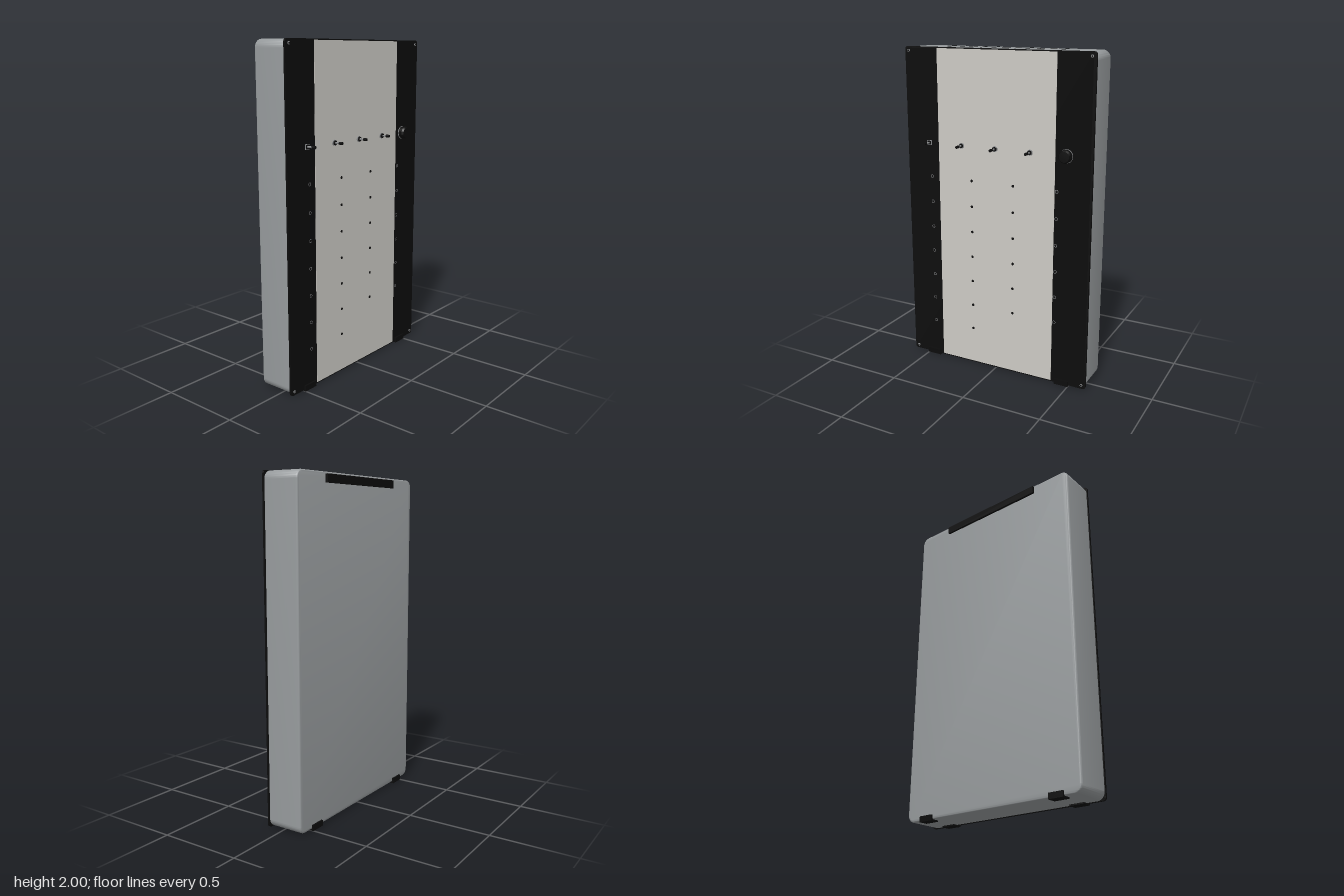
import * as THREE from 'three';
import { toCreasedNormals } from 'three/addons/utils/BufferGeometryUtils.js';

const material = (name, color) => {
  const m = new THREE.MeshStandardMaterial({ color });
  m.name = name;
  return m;
};

// Rounded rectangle centred on the case, w by h
function roundedRect(w, h, r) {
  const x = w / 2, y = h / 2, s = new THREE.Shape();
  s.moveTo(-x + r, -y);
  s.lineTo(x - r, -y);
  s.absarc(x - r, -y + r, r, -Math.PI / 2, 0);
  s.absarc(x - r, y - r, r, 0, Math.PI / 2);
  s.absarc(-x + r, y - r, r, Math.PI / 2, Math.PI);
  s.absarc(-x + r, -y + r, r, Math.PI, Math.PI * 1.5);
  return s;
}

export function createModel() {
  const group = new THREE.Group();
  group.name = 'controlBox';
  const grey = material('caseGrey', 0x989c9e);
  const black = material('black', 0x0c0c0c);
  const light = material('panelLight', 0xcdcbc5);
  const metal = material('metal', 0x8c8e90);

  function add(name, geometry, mat, x, y, z, parent = group) {
    const mesh = new THREE.Mesh(geometry, mat);
    mesh.name = name;
    mesh.position.set(x, y, z);
    parent.add(mesh);
    return mesh;
  }
  const box = (name, mat, w, h, d, x, y, z, parent) =>
    add(name, new THREE.BoxGeometry(w, h, d), mat, x, y, z, parent);
  // Disc or rod pointing to the front, standing on plane z
  const rod = (name, mat, r, d, x, y, z, parent, sides = 16) =>
    add(name, new THREE.CylinderGeometry(r, r, d, sides).rotateX(Math.PI / 2), mat, x, y, z + d / 2, parent);
  const ring = (name, mat, r, w, x, y, z, parent) =>
    add(name, new THREE.RingGeometry(r - w, r, 32), mat, x, y, z, parent);

  // Case with rounded corners and a small rear edge rounding
  const bevel = 0.012;
  const caseGeo = new THREE.ExtrudeGeometry(roundedRect(1.22 - 2 * bevel, 1.99 - 2 * bevel, 0.035), {
    depth: 0.224 - 2 * bevel, bevelThickness: bevel, bevelSize: bevel, bevelSegments: 4, curveSegments: 8,
  });
  add('case', toCreasedNormals(caseGeo, 0.6), grey, 0, 1.003, -0.14 + bevel);

  // Front plate and light centre panel
  const plateGeo = new THREE.ExtrudeGeometry(roundedRect(1.226, 1.993, 0.018), {
    depth: 0.012, bevelEnabled: false, curveSegments: 5,
  });
  add('frontPlate', toCreasedNormals(plateGeo, 0.6), black, 0, 1.003, 0.078);
  box('centrePanel', light, 0.775, 1.98, 0.003, -0.002, 1.003, 0.09);
  const face = 0.0915;

  // Corner screws
  for (const x of [-0.587, 0.587]) for (const y of [0.03, 1.975]) {
    rod('cornerScrew', metal, 0.008, 0.005, x, y, 0.09);
    rod('screwSocket', black, 0.005, 0.001, x, y, 0.095, group, 6);
  }

  // Columns of indicator lamps: x, count
  for (const [x, count] of [[-0.44, 7], [-0.16, 7], [0.12, 6], [0.4, 6]]) {
    const onPanel = Math.abs(x) < 0.3;
    for (let i = 0; i < count; i++) {
      const y = 1.215 - i * 0.1617;
      rod('indicator', black, 0.008, 0.003, x, y, face);
      if (!onPanel) ring('indicatorRim', metal, 0.0105, 0.003, x, y, face + 0.0035);
    }
  }

  // Toggle switches
  const row = 1.425;
  for (const x of [-0.226, 0, 0.228]) {
    const toggle = new THREE.Group();
    toggle.name = 'toggleSwitch';
    toggle.position.set(x, row, face);
    group.add(toggle);
    rod('washer', metal, 0.017, 0.005, 0, 0, 0, toggle, 24);
    rod('nut', black, 0.014, 0.008, 0, 0, 0.005, toggle, 6);
    rod('lever', metal, 0.0055, 0.035, 0, 0, 0.01, toggle);
    rod('leverTip', black, 0.0085, 0.022, 0, 0, 0.04, toggle);
  }

  // Square-based switch on the left strip
  box('switchBase', metal, 0.03, 0.03, 0.006, -0.456, row, 0.093);
  box('switchFace', black, 0.024, 0.024, 0.002, -0.456, row, 0.0965);
  rod('switchLever', metal, 0.0055, 0.035, -0.456, row, 0.096);
  rod('switchTip', black, 0.0085, 0.022, -0.456, row, 0.131);

  // Rotary knob
  rod('knobRim', metal, 0.04, 0.004, 0.453, row, 0.09, group, 40);
  const profile = [[0, 0], [0.038, 0], [0.038, 0.022], [0.031, 0.033], [0, 0.034]]
    .map(([r, h]) => new THREE.Vector2(r, h));
  const knobGeo = toCreasedNormals(new THREE.LatheGeometry(profile, 32).rotateX(Math.PI / 2), 0.5);
  add('knob', knobGeo, black, 0.453, row, 0.094);

  // Cooling slots in the top
  for (let i = -5; i <= 5; i++) box('coolingSlot', black, 0.011, 0.004, 0.092, i * 0.074, 1.9975, -0.056);

  // Rear grip bar
  box('rearBar', black, 0.716, 0.048, 0.016, -0.002, 1.963, -0.146);

  // Feet wrapped round the lower edges
  for (const x of [-0.456, 0.456]) for (const s of [-1, 1]) {
    const outer = s > 0 ? 0.101 : -0.15;
    box('footSole', black, 0.092, 0.012, 0.058, x, 0.006, outer - s * 0.029);
    box('footLip', black, 0.092, 0.034, 0.013, x, 0.017, outer - s * 0.0065);
  }

  return group;
}
